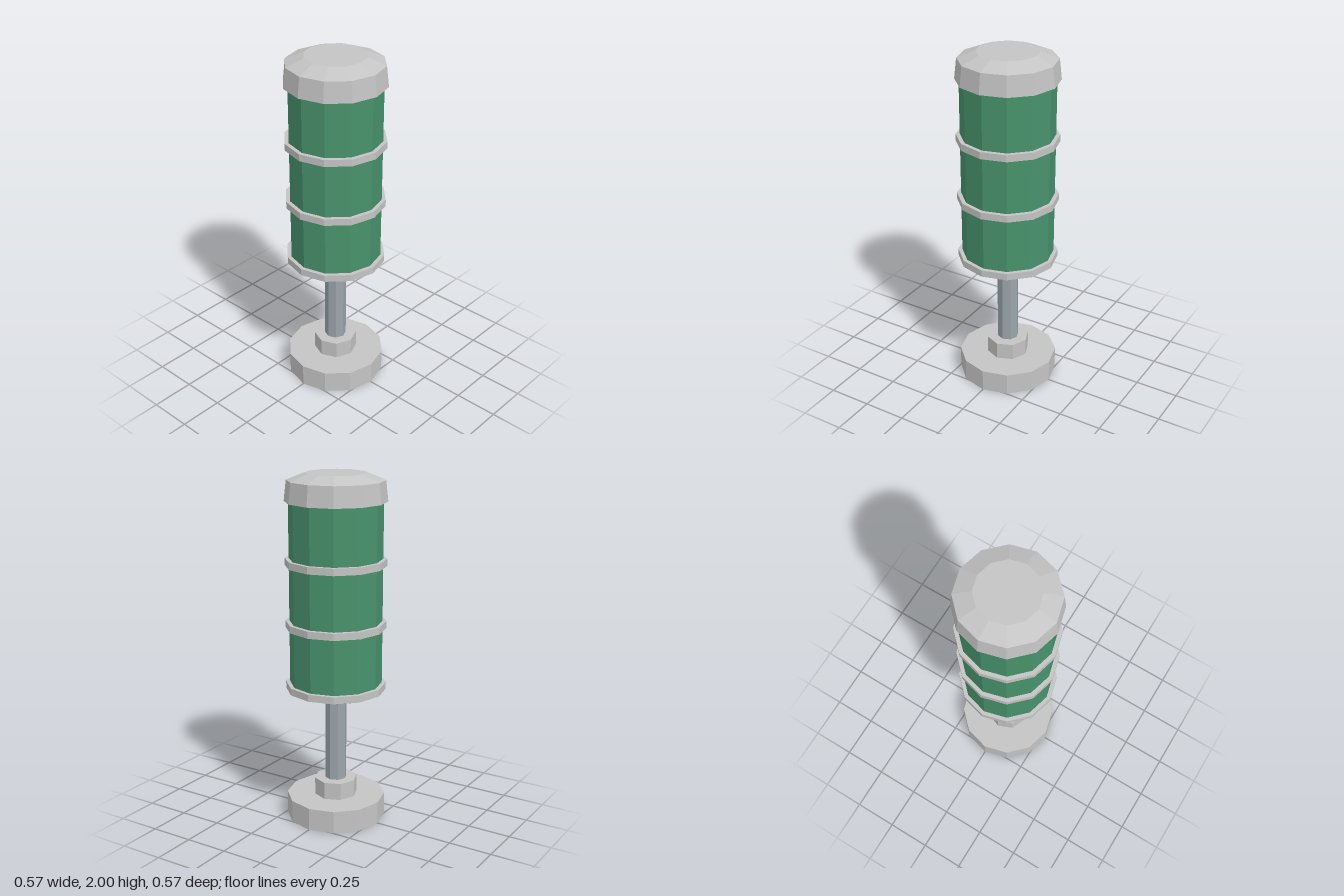
import * as THREE from 'three';

export function createModel() {
  const model = new THREE.Group();
  const material = (name, color) => {
    const m = new THREE.MeshStandardMaterial({ color, flatShading: true });
    m.name = name;
    return m;
  };
  const grey = material('light grey', 0xc4c4c4);
  const green = material('green', 0x48926c);
  const steel = material('blue grey steel', 0x9aa6ab);

  // Faceted section between two heights, with its own radius at each end
  const section = (name, mat, y0, y1, r0, r1 = r0, sides = 12, open = false) => {
    const mesh = new THREE.Mesh(new THREE.CylinderGeometry(r1, r0, y1 - y0, sides, 1, open), mat);
    mesh.name = name;
    mesh.position.y = (y0 + y1) / 2;
    model.add(mesh);
  };

  // Stand
  section('base', grey, 0, 0.13, 0.285);
  section('collar', grey, 0.13, 0.23, 0.124, 0.124, 8);
  section('pole', steel, 0.23, 0.72, 0.062, 0.062, 8);

  // Drum with its bands
  section('drum', green, 0.8, 1.86, 0.262, 0.262, 12, true);
  [0.775, 1.135, 1.49].forEach((y, i) => section('band' + (i + 1), grey, y, y + 0.04, 0.285));

  // Tapered underside and domed cap, as one profile each
  const lathe = (name, profile) => {
    const points = profile.map(([r, y]) => new THREE.Vector2(r, y));
    const mesh = new THREE.Mesh(new THREE.LatheGeometry(points, 12), grey);
    mesh.name = name;
    model.add(mesh);
  };
  lathe('underside', [[0, 0.72], [0.13, 0.72], [0.285, 0.775]]);
  lathe('cap', [[0, 1.845], [0.285, 1.845], [0.272, 1.96], [0.172, 2], [0, 2]]);

  return model;
}
